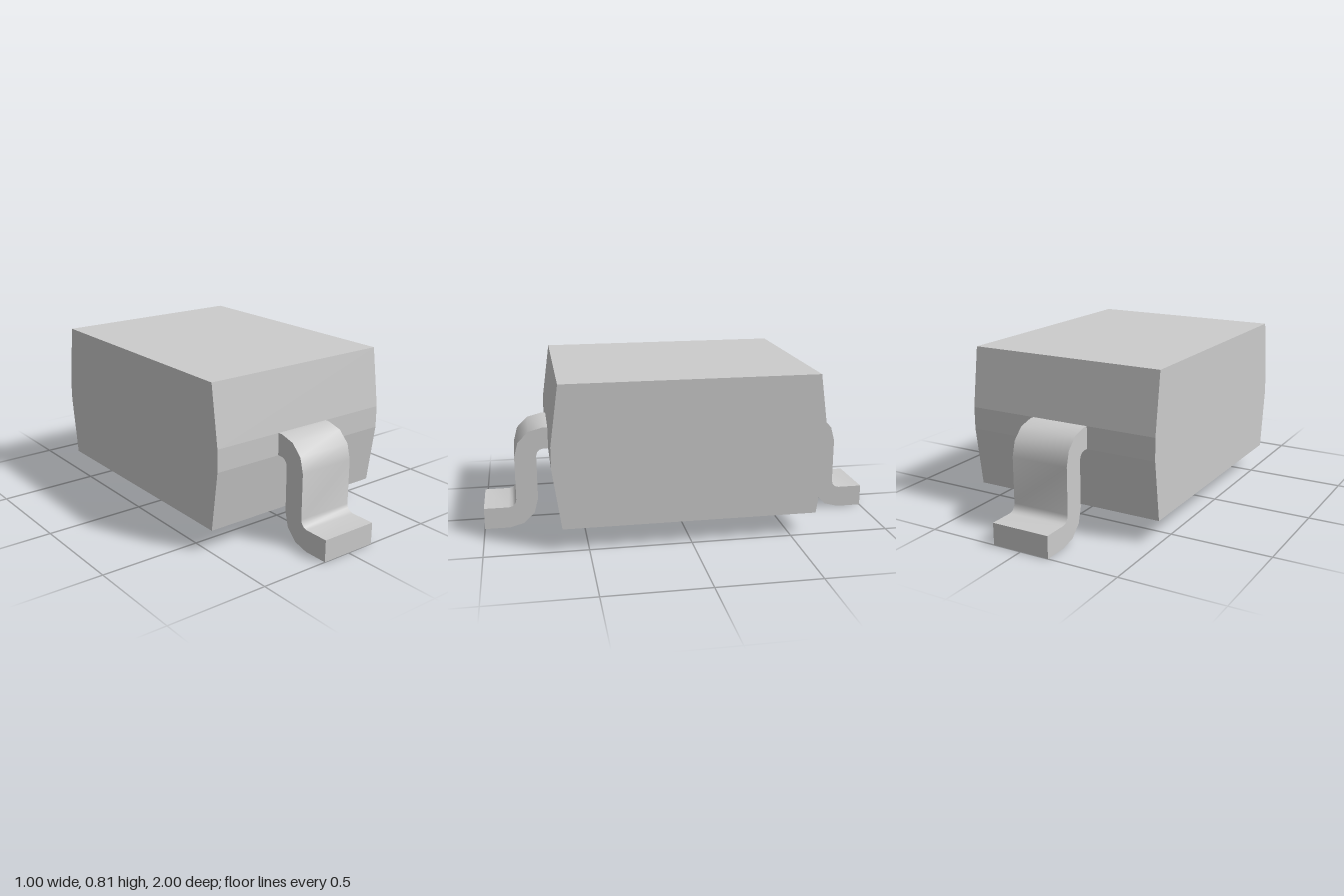
import * as THREE from 'three';
import { toCreasedNormals } from 'three/addons/utils/BufferGeometryUtils.js';

const material = new THREE.MeshStandardMaterial({ color: 0xcccccc });

// Extrudes a (z, y) outline along x, centred on x = 0.
function extrudeSide(points, width) {
  const shape = new THREE.Shape(points.map(([z, y]) => new THREE.Vector2(z, y)));
  const geometry = new THREE.ExtrudeGeometry(shape, { depth: width, bevelEnabled: false });
  return geometry.translate(0, 0, -width / 2).rotateY(-Math.PI / 2);
}

// Points of a faceted bend, angles in degrees.
function bend(z, y, radius, from, to, steps = 3) {
  return Array.from({ length: steps + 1 }, (_, i) => {
    const a = THREE.MathUtils.degToRad(from + ((to - from) * i) / steps);
    return [z + radius * Math.cos(a), y + radius * Math.sin(a)];
  });
}

export function createModel() {
  const group = new THREE.Group();

  // Moulded body with drafted ends and a flat parting band
  const half = [[0.625, 0.113], [0.667, 0.41], [0.667, 0.52], [0.625, 0.815]];
  const mirrored = half.map(([z, y]) => [-z, y]).reverse();
  const body = new THREE.Mesh(extrudeSide([...half, ...mirrored], 1), material);
  body.name = 'body';
  group.add(body);

  // Gull-wing lead: shoulder bend, upright, lower bend and flat foot
  const inner = 0.038, outer = 0.147;
  const shoulder = [0.69, 0.373], ankle = [0.875, 0.147];
  const outline = [
    [0.66, 0.52],
    ...bend(...shoulder, outer, 90, 0),
    ...bend(...ankle, inner, 180, 270),
    [1, 0.109],
    [1, 0],
    ...bend(...ankle, outer, 270, 180),
    ...bend(...shoulder, inner, 0, 90),
    [0.66, 0.411],
  ];
  const leadGeometry = toCreasedNormals(extrudeSide(outline, 0.296), 0.6);
  ['frontLead', 'backLead'].forEach((name, i) => {
    const lead = new THREE.Mesh(leadGeometry, material);
    lead.name = name;
    lead.rotation.y = i * Math.PI;
    group.add(lead);
  });

  return group;
}
